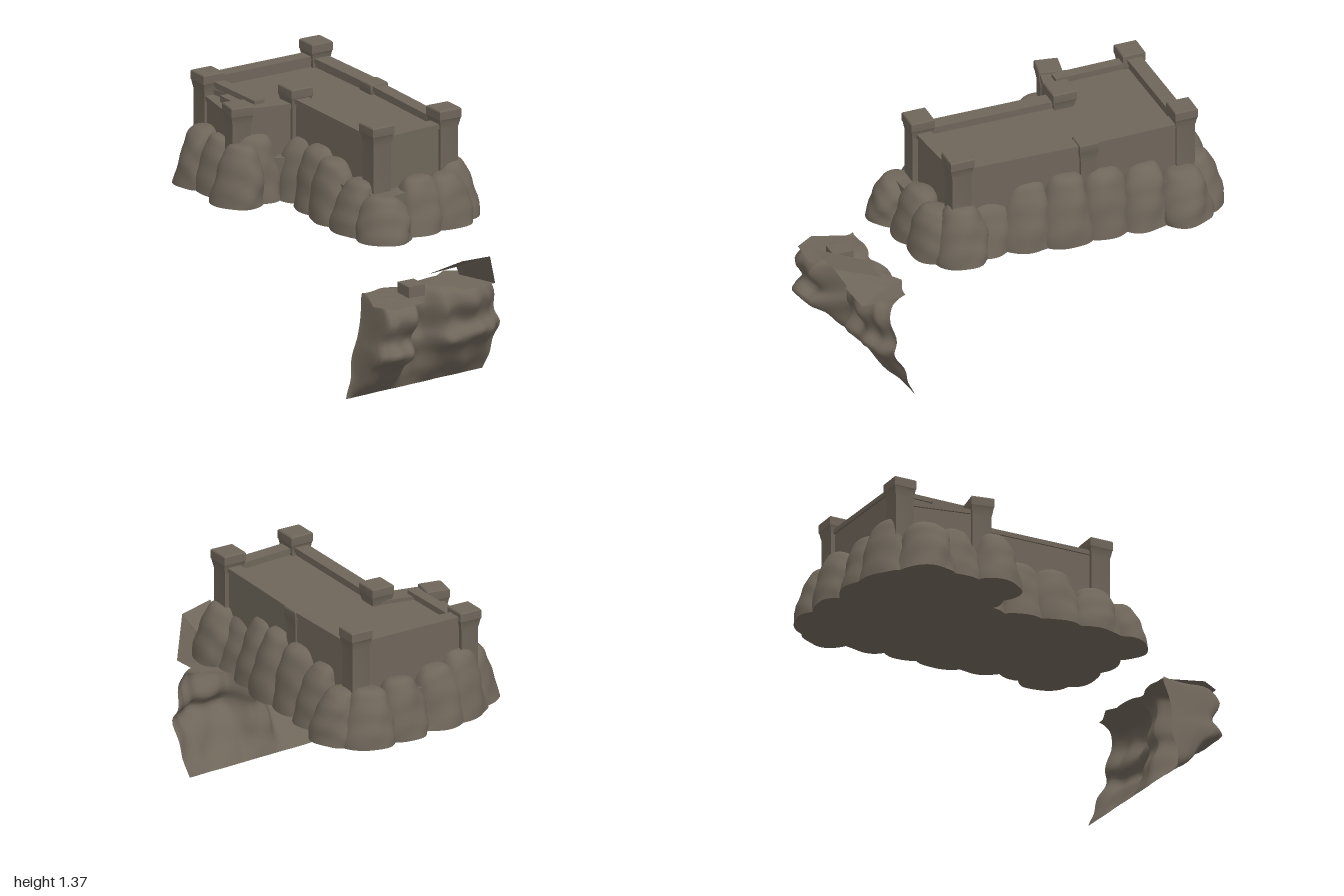
import * as THREE from 'three';
import { toCreasedNormals } from 'three/addons/utils/BufferGeometryUtils.js';

const stone = new THREE.MeshStandardMaterial({ color: 0x6f665a });
stone.name = 'weathered stone';
const stoneSheet = new THREE.MeshStandardMaterial({ color: 0x6f665a, side: THREE.DoubleSide });
stoneSheet.name = 'weathered stone sheet';

const BASE = 0.78; // underside of the fort rock

function add(parent, name, geometry, material = stone) {
  const mesh = new THREE.Mesh(geometry, material);
  mesh.name = name;
  parent.add(mesh);
  return mesh;
}

// smooth lumpy noise, about -1..1
const lumps = (x, y, z) =>
  0.5 * Math.sin(x * 17 + y * 9 + 1) * Math.cos(z * 19 - y * 7) +
  0.3 * Math.sin(x * 31 - z * 27 + y * 23) + 0.2 * Math.sin(y * 41 + z * 37);

// plan polygon of [x, z] raised between two heights
function prism(points, y0, y1) {
  const shape = new THREE.Shape(points.map(([x, z]) => new THREE.Vector2(x, -z)));
  const g = new THREE.ExtrudeGeometry(shape, { depth: y1 - y0, bevelEnabled: false });
  return g.rotateX(-Math.PI / 2).translate(0, y0, 0);
}

// straight wall with a coping
function wall(parent, name, a, b, top, width = 0.06) {
  const g = new THREE.Group();
  g.name = name;
  const dx = b[0] - a[0], dz = b[1] - a[1], len = Math.hypot(dx, dz);
  add(g, 'wallFace', new THREE.BoxGeometry(len, top - 0.02 - BASE, width)
    .translate(0, (top - 0.02 + BASE) / 2, 0));
  add(g, 'coping', new THREE.BoxGeometry(len, 0.025, width + 0.02).translate(0, top - 0.0125, 0));
  g.position.set((a[0] + b[0]) / 2, 0, (a[1] + b[1]) / 2);
  g.rotation.y = -Math.atan2(dz, dx);
  parent.add(g);
}

// square pier with a flared cap
function pier(parent, name, [x, z], top, size, turn) {
  const h = size / 2;
  const profile = [[0, BASE], [h * 0.86, BASE], [h * 0.86, top - 0.1], [h * 0.93, top - 0.08],
    [h, top - 0.055], [h * 1.05, top - 0.05], [h * 1.05, top - 0.006], [h * 0.98, top], [0, top]];
  const g = new THREE.LatheGeometry(
    profile.map(([r, y]) => new THREE.Vector2(r * Math.SQRT2, y)), 4).rotateY(Math.PI / 4);
  const m = add(parent, name, toCreasedNormals(g, 0.5));
  m.position.set(x, 0, z);
  m.rotation.y = turn;
}

// blocky boulder with a flat underside, widened along the rim and leaning in to the walls
function boulder(parent, [x, z, r, top], tangent) {
  const g = new THREE.SphereGeometry(1, 36, 28);
  const p = g.attributes.position;
  const wide = 0.14, c = Math.cos(tangent), s = Math.sin(tangent);
  for (let i = 0; i < p.count; i++) {
    const ux = p.getX(i), uy = p.getY(i), uz = p.getZ(i);
    const ring = Math.hypot(ux, uz);
    const k = ring > 1e-4 ? Math.pow(ring, 0.5) / ring : 0;
    const up = Math.max(0, uy);
    const n = (1 + 0.15 * lumps(x + ux * 0.13, up * 0.3, z + uz * 0.13)) * (1.05 - 0.1 * up);
    const along = ux * k * wide * n;
    const across = uz * k * r * n * (uz > 0 ? 1.25 : 1) + 0.035 * up;
    p.setXYZ(i, x + along * c - across * s,
      BASE + up * (top - BASE) * (1 + 0.07 * lumps(x + ux * 0.1, 0, z + uz * 0.1)),
      z + along * s + across * c);
  }
  add(parent, 'boulder', toCreasedNormals(g, 0.9));
}

// interpolate a short list of [t, value] pairs
function ramp(list, t) {
  let i = 0;
  while (i < list.length - 2 && t > list[i + 1][0]) i++;
  const [a, b] = [list[i], list[i + 1]];
  const k = THREE.MathUtils.smoothstep(t, a[0], b[0]);
  return a[1] + (b[1] - a[1]) * k;
}

// open cliff sheet: foot is a straight line, face bulges in two buttresses and folds back on top
function cliffFace() {
  const nu = 56, nv = 32, pos = [], idx = [];
  const depth = [[0, -0.05], [0.07, 1.15], [0.14, 1.3], [0.28, 1.25], [0.38, 0.35], [0.48, 0.35],
    [0.58, 0.9], [0.75, 0.95], [0.88, 0.75], [1, 0.5]];
  const profile = new THREE.CatmullRomCurve3([[0, 0.01], [0.08, 0.1], [0.16, 0.2], [0.235, 0.29],
    [0.195, 0.35], [0.235, 0.46], [0.21, 0.53], [0.1, 0.555], [-0.01, 0.555]]
    .map(([n, y]) => new THREE.Vector3(n, y, 0)));
  for (let j = 0; j <= nv; j++) {
    const q = profile.getPoint(j / nv);
    const rise = Math.min(1, q.y / 0.56), foot = Math.min(1, q.y / 0.12);
    for (let i = 0; i <= nu; i++) {
      const u = i / nu;
      const bulge = q.x * ramp(depth, u);
      // ends draw in with height but flare out with the bulge
      const inset = u < 0.5 ? 0.12 * rise - 0.35 * bulge : 0.1 * rise ** 2 - 0.4 * bulge;
      const s = 0.877 * u + (0.5 - u) * 2 * inset;
      const n = bulge + 0.025 * foot * lumps(s, q.y * 0.8, 0.3);
      const y = q.y + 0.014 * foot * lumps(s * 1.2, 0.2, n);
      pos.push(0.36 + 0.479 * s + 0.878 * n, y, 0.81 - 0.878 * s + 0.479 * n);
    }
  }
  const w = nu + 1;
  for (let j = 0; j < nv; j++) for (let i = 0; i < nu; i++) {
    const a = j * w + i;
    idx.push(a, a + 1, a + w, a + 1, a + w + 1, a + w);
  }
  const g = new THREE.BufferGeometry();
  g.setAttribute('position', new THREE.Float32BufferAttribute(pos, 3));
  g.setIndex(idx);
  g.computeVertexNormals();
  return g;
}

// flat sheet through a fan of corners
function sheet(corners) {
  const g = new THREE.BufferGeometry();
  const tri = [];
  for (let i = 1; i < corners.length - 1; i++) tri.push(...corners[0], ...corners[i], ...corners[i + 1]);
  g.setAttribute('position', new THREE.Float32BufferAttribute(tri, 3));
  g.computeVertexNormals();
  return g;
}

export function createModel() {
  const model = new THREE.Group();
  model.name = 'ruinedFort';

  // rock base: a core ringed by boulders [x, z, radius, top]
  const rock = new THREE.Group();
  rock.name = 'rockBase';
  model.add(rock);
  const ring = [[-0.9, -0.22, 0.1, 1.13], [-0.83, -0.39, 0.11, 1.1], [-0.73, -0.61, 0.11, 1.08],
    [-0.62, -0.78, 0.12, 1.06], [-0.44, -0.81, 0.12, 1.04], [-0.27, -0.66, 0.11, 1.1],
    [-0.1, -0.54, 0.11, 1.14], [0.08, -0.43, 0.12, 1.14], [0.24, -0.29, 0.11, 1.13],
    [0.4, -0.15, 0.1, 1.08], [0.56, -0.1, 0.12, 1.07], [0.61, 0.05, 0.1, 1.05],
    [0.52, 0.23, 0.1, 1.06], [0.41, 0.45, 0.12, 1.01], [0.22, 0.4, 0.1, 1.05],
    [0.02, 0.27, 0.1, 1.1], [-0.12, 0.14, 0.1, 1.12], [-0.26, 0.02, 0.09, 1.1],
    [-0.47, 0.13, 0.1, 1.12], [-0.53, 0.23, 0.11, 1.08], [-0.71, 0.08, 0.1, 1.07],
    [-0.87, 0.0, 0.1, 1.1]];
  ring.forEach((b, i) => {
    const prev = ring[(i + ring.length - 1) % ring.length], next = ring[(i + 1) % ring.length];
    boulder(rock, b, Math.atan2(next[1] - prev[1], next[0] - prev[0]));
  });
  add(rock, 'rockCore', prism(ring, BASE, 1.0));

  // fort plan corners
  const A = [-0.52, -0.73], B = [-0.87, -0.155], C = [-0.56, 0.14], D = [-0.34, -0.09],
    E = [0.32, 0.34], F = [0.52, -0.05], G = [-0.06, -0.445], H = [-0.48, 0.05];
  const fort = new THREE.Group();
  fort.name = 'fort';
  model.add(fort);
  add(fort, 'courtyardFloor', prism([A, B, H, D, E, F], 0.8, 1.25));
  add(fort, 'lowerTerrace', prism([B, C, H], 0.8, 1.19));
  wall(fort, 'leftWall', A, B, 1.31);
  wall(fort, 'backWallLeft', A, G, 1.3, 0.07);
  wall(fort, 'backWallRight', G, F, 1.295, 0.055);
  wall(fort, 'rightWall', F, E, 1.29);
  wall(fort, 'frontWall', E, D, 1.295);
  wall(fort, 'gateWalk', D, C, 1.27, 0.09);
  wall(fort, 'terraceWall', B, C, 1.22, 0.05);
  wall(fort, 'terraceInnerWall', [-0.85, -0.18], H, 1.29, 0.04);
  const step = add(fort, 'terraceStep', new THREE.BoxGeometry(0.15, 0.07, 0.07));
  step.position.set(-0.66, 1.22, -0.02);
  step.rotation.y = -0.6;

  // piers
  const turn = -0.57;
  [['backLeftPier', A, 1.38, 0.12], ['leftPier', B, 1.335, 0.12], ['gatePier', C, 1.285, 0.12],
    ['innerPier', D, 1.35, 0.125], ['frontRightPier', E, 1.36, 0.125], ['rightPier', F, 1.365, 0.125],
    ['backMiddlePier', G, 1.305, 0.1]]
    .forEach(([name, at, top, size]) => pier(fort, name, at, top, size, name === 'gatePier' ? -0.75 : turn));

  // broken cliff below the fort
  const cliff = new THREE.Group();
  cliff.name = 'cliff';
  model.add(cliff);
  add(cliff, 'cliffFace', cliffFace(), stoneSheet);
  const slab = add(cliff, 'ledgeSlab', new THREE.BoxGeometry(0.11, 0.06, 0.1));
  slab.position.set(0.64, 0.59, 0.61);
  slab.rotation.y = turn;
  add(cliff, 'leftShelf', sheet([[0.43, 0.555, 0.7], [0.54, 0.55, 0.86], [0.66, 0.55, 0.86],
    [0.765, 0.56, 0.71], [0.59, 0.565, 0.6], [0.5, 0.56, 0.58]]), stoneSheet);
  add(cliff, 'raisedFlap', sheet([[0.66, 0.62, 0.44], [0.92, 0.77, 0.59], [0.99, 0.75, 0.4],
    [0.74, 0.62, 0.27]]), stoneSheet);
  add(cliff, 'flapSide', sheet([[0.99, 0.75, 0.4], [0.95, 0.555, 0.25], [0.74, 0.57, 0.24],
    [0.74, 0.62, 0.27]]), stoneSheet);
  add(cliff, 'brokenShelf', sheet([[0.64, 0.57, 0.22], [0.66, 0.58, 0.44], [0.86, 0.56, 0.42],
    [0.95, 0.555, 0.25], [0.76, 0.565, 0.13]]), stoneSheet);
  return model;
}
